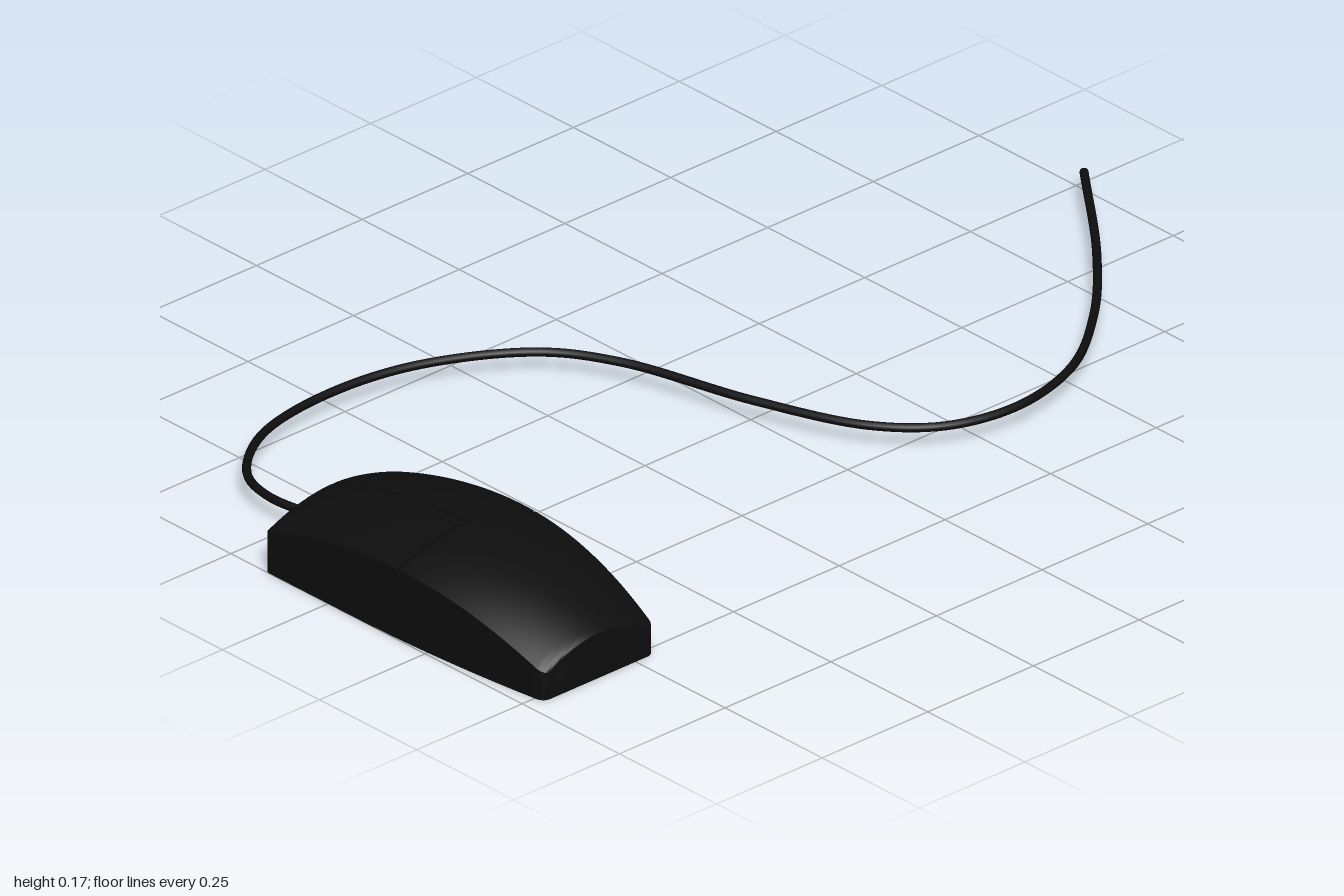
import * as THREE from 'three';
import { toCreasedNormals } from 'three/addons/utils/BufferGeometryUtils.js';

const BACK = -0.165, FRONT = 0.52, CENTRE_X = -0.837, SEAM = 0.18;
const GAP = 0.003, SHELL = 0.012, CORNER = 0.015;

// Height of the centre line: highest over the seam, falling to both ends
const crown = (z) => 0.173 - (z > 0.17 ? 0.686 : 0.535) * (z - 0.17) ** 2;

// Half width: constant at the buttons, tapering to the palm, with rounded corners
function halfWidth(z) {
  const w = 0.163 - 0.145 * Math.max(0, z - 0.05) ** 2;
  const d = Math.min(z - BACK, FRONT - z, CORNER);
  return w - CORNER + Math.sqrt(Math.max(0, CORNER ** 2 - (CORNER - d) ** 2));
}

// Arched top surface; u runs from -1 to 1 across the body
const surface = (u, z) => crown(z) - 0.036 * u * u;

// Closed solid between two heights, lofted along z from z0 to z1
function loft(z0, z1, u0, u1, top, bottom) {
  const stations = new Set([z0, z1]);
  for (let i = 1; i < 32; i++) stations.add(z0 + (z1 - z0) * i / 32);
  for (let i = 1; i <= 5; i++) {
    const d = CORNER * (1 - Math.cos(i / 5 * Math.PI / 2));
    for (const z of [BACK + d, FRONT - d]) if (z > z0 && z < z1) stations.add(z);
  }
  const zs = [...stations].sort((a, b) => a - b);
  const n = 16, ring = 2 * (n + 1), pos = [], idx = [];
  for (const z of zs) {
    for (let j = 0; j < ring; j++) {
      const k = j <= n ? j : ring - 1 - j;
      const u = u0 + (u1 - u0) * k / n;
      pos.push(CENTRE_X + u * halfWidth(z), (j <= n ? top : bottom)(u, z), z);
    }
  }
  for (let i = 0; i < zs.length - 1; i++) {
    for (let j = 0; j < ring; j++) {
      const a = i * ring + j, b = i * ring + (j + 1) % ring;
      idx.push(a, a + ring, b, b, a + ring, b + ring);
    }
  }
  // End caps
  const last = (zs.length - 1) * ring;
  for (let k = 0; k < n; k++) {
    const t = k, t1 = k + 1, b = ring - 1 - k, b1 = ring - 2 - k;
    idx.push(last + b, last + b1, last + t1, last + b, last + t1, last + t);
    idx.push(b, t1, b1, b, t, t1);
  }
  const g = new THREE.BufferGeometry();
  g.setAttribute('position', new THREE.Float32BufferAttribute(pos, 3));
  g.setIndex(idx);
  return toCreasedNormals(g, 0.5);
}

export function createModel() {
  const group = new THREE.Group();
  const black = new THREE.MeshStandardMaterial({ color: 0x0d0d0d });
  black.name = 'black plastic';
  const add = (name, geometry) => {
    const mesh = new THREE.Mesh(geometry, black);
    mesh.name = name;
    group.add(mesh);
  };

  // Base body, with the shell panels resting on it
  const lower = (u, z) => surface(u, z) - SHELL;
  add('base', loft(BACK, FRONT, -1, 1, lower, () => 0));
  add('palmRest', loft(SEAM + GAP, FRONT, -1, 1, surface, lower));
  add('buttonRight', loft(BACK, SEAM - GAP, -1, -0.012, surface, lower));
  add('buttonLeft', loft(BACK, SEAM - GAP, 0.012, 1, surface, lower));

  // Cable lying in a winding curve, as x and z
  const path = [
    [-0.84, -0.14], [-0.845, -0.18], [-0.861, -0.3], [-0.834, -0.388], [-0.717, -0.479],
    [-0.535, -0.512], [-0.342, -0.484], [-0.155, -0.377], [-0.075, -0.254], [0, 0.008],
    [0.086, 0.211], [0.182, 0.302], [0.321, 0.334], [0.487, 0.294], [0.647, 0.179],
    [0.807, 0.013], [0.993, -0.222],
  ].map(([x, z]) => new THREE.Vector3(x, 0.041, z));
  const curve = new THREE.CatmullRomCurve3(path);
  add('cable', new THREE.TubeGeometry(curve, 160, 0.008, 12));

  // Flat disc closing the loose end
  const end = new THREE.CircleGeometry(0.008, 12);
  const tangent = curve.getTangent(1);
  end.rotateY(Math.atan2(tangent.x, tangent.z));
  end.translate(...path[path.length - 1].toArray());
  add('cableEnd', end);

  return group;
}
